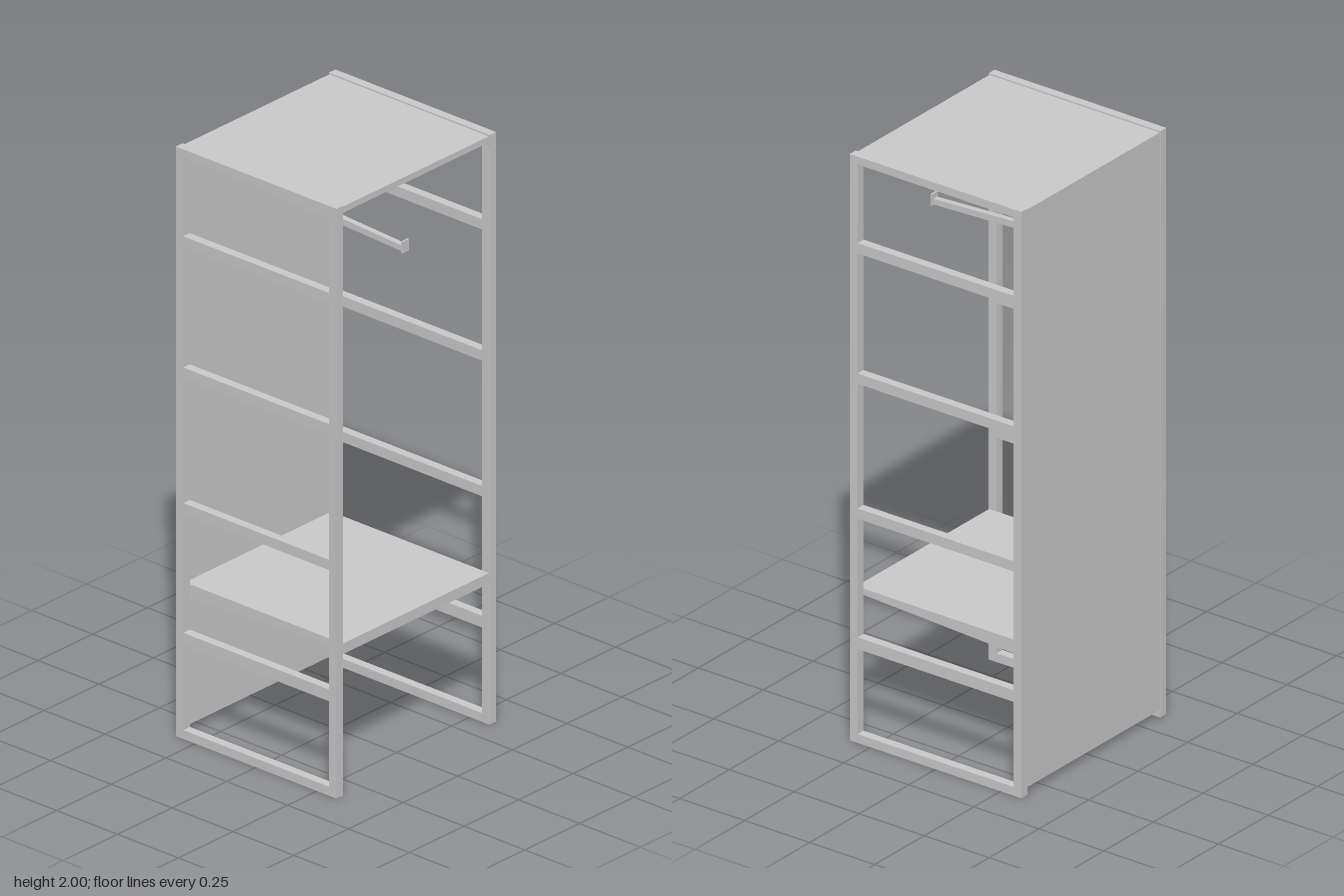
import * as THREE from 'three';

const W = 0.365, D = 0.33, T = 0.03; // half width, half depth, tube size

export function createModel() {
  const model = new THREE.Group();
  const mat = new THREE.MeshStandardMaterial({ color: 0xcccccc, side: THREE.DoubleSide });

  // Box given by its min and max on each axis
  function box(name, [x0, x1], [y0, y1], [z0, z1], parent = model) {
    const m = new THREE.Mesh(new THREE.BoxGeometry(x1 - x0, y1 - y0, z1 - z0), mat);
    m.name = name;
    m.position.set((x0 + x1) / 2, (y0 + y1) / 2, (z0 + z1) / 2);
    parent.add(m);
    return m;
  }

  // Plate drawn as [z, y] points and extruded along x
  function sidePlate(name, points, x, width, parent) {
    const shape = new THREE.Shape(points.map(([z, y]) => new THREE.Vector2(-z, y)));
    const geo = new THREE.ExtrudeGeometry(shape, { depth: width, bevelEnabled: false });
    geo.rotateY(Math.PI / 2);
    const m = new THREE.Mesh(geo, mat);
    m.name = name;
    m.position.x = x - width / 2;
    parent.add(m);
  }

  // Ladder-like side frames
  const rails = [[0, T], [0.32, 0.36], [0.765, 0.8], [1.225, 1.26], [1.67, 1.705], [1.973, 2]];
  for (const s of [-1, 1]) {
    const frame = new THREE.Group();
    frame.name = s > 0 ? 'leftFrame' : 'rightFrame';
    const xs = s > 0 ? [W - T, W] : [-W, T - W];
    box('frontPost', xs, [0, 2], [D - T, D], frame);
    box('backPost', xs, [0, 2], [-D, T - D], frame);
    for (const ys of rails) box('rail', xs, ys, [T - D, D - T], frame);
    model.add(frame);
  }

  // Back sheet
  const inner = [T - W, W - T];
  box('backPanel', inner, [0.025, 1.99], [-0.328, -0.32]);

  // Top sheet with folded edges
  const top = new THREE.Group();
  top.name = 'topPanel';
  box('topSheet', inner, [1.989, 1.995], [-0.328, 0.327], top);
  box('topFrontLip', inner, [1.974, 1.995], [0.321, 0.327], top);
  for (const s of [-1, 1]) {
    const corner = new THREE.Shape();
    corner.moveTo(0, 0);
    corner.lineTo(-s * 0.012, 0);
    corner.quadraticCurveTo(0, 0, 0, -0.012);
    const m = new THREE.Mesh(new THREE.ExtrudeGeometry(corner, { depth: 0.006, bevelEnabled: false }), mat);
    m.name = 'topLipCorner';
    m.position.set(s * (W - T), 1.974, 0.321);
    top.add(m);
  }
  model.add(top);

  // Shelf: folded sheet with tapering side flanges
  const shelf = new THREE.Group();
  shelf.name = 'shelf';
  box('shelfSheet', inner, [0.508, 0.514], [-0.32, 0.328], shelf);
  box('shelfFrontLip', inner, [0.478, 0.514], [0.322, 0.328], shelf);
  for (const s of [-1, 1]) {
    sidePlate('shelfFlange', [[0.322, 0.512], [0.322, 0.494], [-0.32, 0.465], [-0.32, 0.512]],
      s * (W - T - 0.003), 0.006, shelf);
  }
  model.add(shelf);

  // Sloping hanging arm with an upturned end and a small mounting strip
  const arm = new THREE.Group();
  arm.name = 'hangingArm';
  sidePlate('armBar', [[0.275, 0.727], [0.275, 0.708], [-0.32, 0.733], [-0.32, 0.758]]
    .map(([z, y]) => [z, y + 1]), 0.008, 0.02, arm);
  box('armEndStop', [-0.007, 0.023], [1.705, 1.744], [0.274, 0.28], arm);
  box('mountingStrip', [-0.015, 0.031], [1.796, 1.801], [-0.32, -0.314], arm);
  model.add(arm);

  return model;
}
